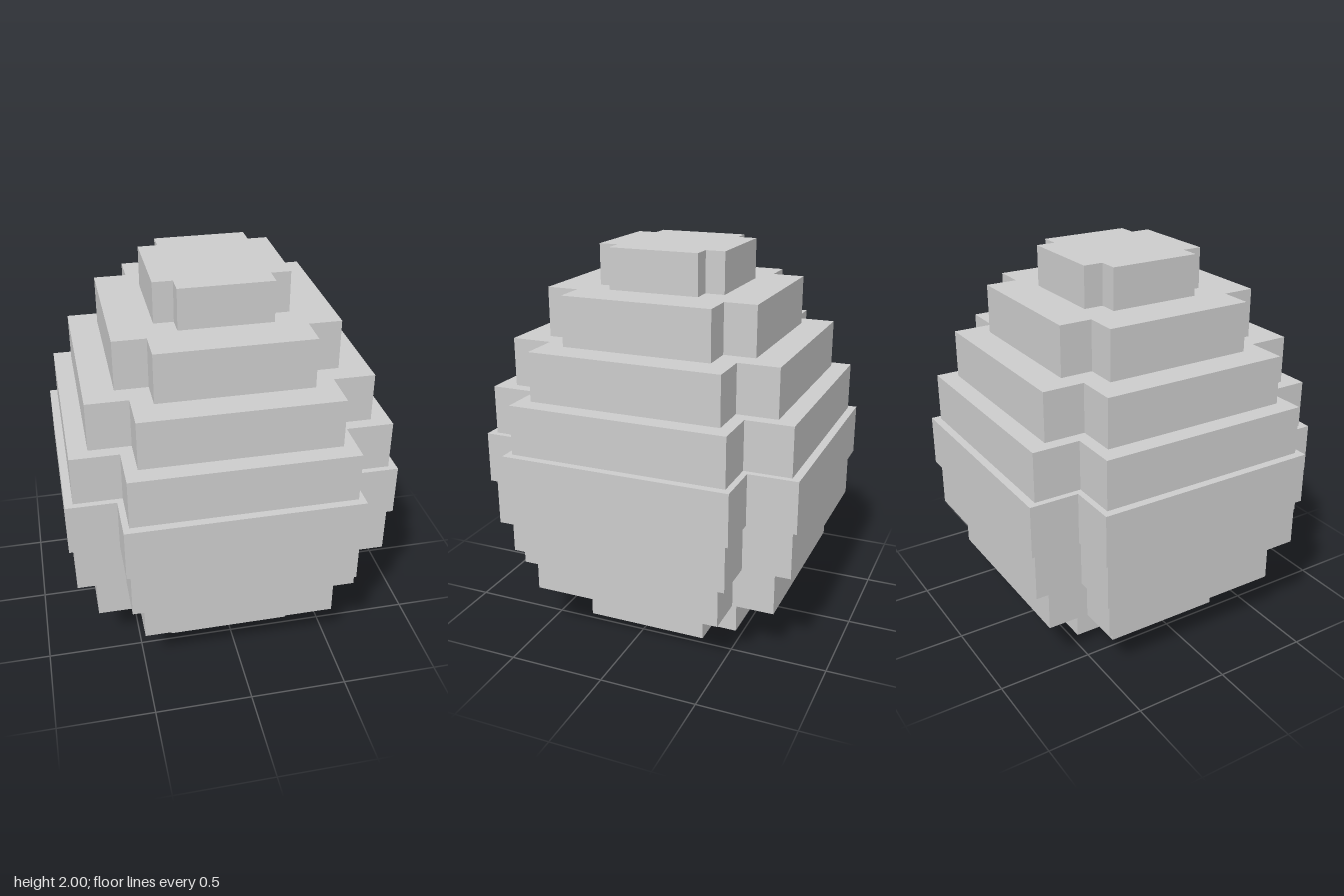
import * as THREE from 'three';

// Each tier: [bottom y, top y, half width of the arms, half width at the notched corners]
const TIERS = [
  [0, 0.257, 0.463, 0.326],
  [0.257, 0.511, 0.718, 0.5],
  [0.511, 0.762, 0.818, 0.569],
  [0.762, 1.03, 0.843, 0.591],
  [1.03, 1.284, 0.802, 0.56],
  [1.284, 1.535, 0.707, 0.496],
  [1.535, 1.79, 0.555, 0.389],
  [1.79, 2, 0.336, 0.236],
];

// Square outline with a notch cut from every corner
function notchedSquare(a, b) {
  const points = [];
  for (const [sx, sy] of [[1, 1], [-1, 1], [-1, -1], [1, -1]]) {
    const corner = [[a, b], [b, b], [b, a]];
    if (sx * sy < 0) corner.reverse();
    for (const [x, y] of corner) points.push(new THREE.Vector2(sx * x, sy * y));
  }
  return new THREE.Shape(points);
}

export function createModel() {
  const model = new THREE.Group();
  model.name = 'steppedEgg';
  const grey = new THREE.MeshStandardMaterial({ color: 0xcccccc });
  grey.name = 'light grey';

  // Stacked slabs, bottom to top
  TIERS.forEach(([y0, y1, a, b], i) => {
    const geometry = new THREE.ExtrudeGeometry(notchedSquare(a, b), { depth: y1 - y0, bevelEnabled: false });
    geometry.rotateX(-Math.PI / 2);
    const tier = new THREE.Mesh(geometry, grey);
    tier.name = `tier${i + 1}`;
    tier.position.y = y0;
    model.add(tier);
  });
  return model;
}
